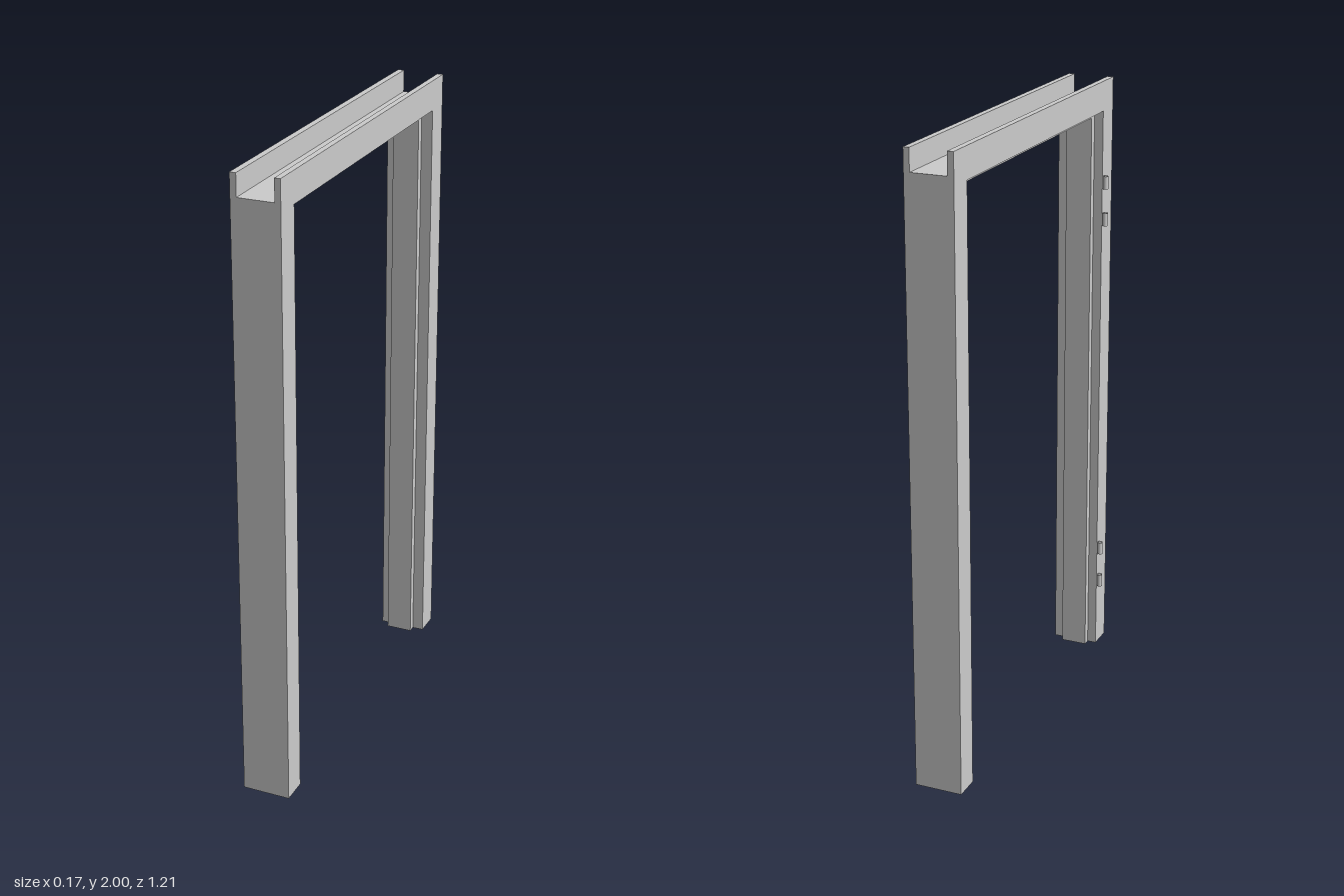
import * as THREE from 'three';

const material = new THREE.MeshStandardMaterial({ color: 0xcccccc, flatShading: true });
const hingeMaterial = new THREE.MeshStandardMaterial({ color: 0xcccccc, side: THREE.DoubleSide });

// Frame depth (x) and the door stop's range within it
const X0 = -0.067, X1 = 0.087, STOP0 = -0.037, STOP1 = 0.05;
// Channel walls on top of the head
const WALL0 = -0.047, WALL1 = 0.068;
// Half width, inner face of frame, inner face of stop (z)
const OUT = 0.605, IN = 0.52, STOP_IN = 0.495;
// Heights
const TOP = 2, CHANNEL = 1.93, HEAD = 1.903, STOP_HEAD = 1.883;

function extrude(points, depth) {
  const shape = new THREE.Shape(points.map(([x, y]) => new THREE.Vector2(x, y)));
  return new THREE.ExtrudeGeometry(shape, { depth, bevelEnabled: false });
}

function addMesh(parent, name, geometry, mat = material) {
  const mesh = new THREE.Mesh(geometry, mat);
  mesh.name = name;
  parent.add(mesh);
  return mesh;
}

export function createModel() {
  const model = new THREE.Group();
  model.name = 'doorFrame';

  // Side posts: rebated section extruded upwards
  for (const side of [1, -1]) {
    const section = [
      [X0, OUT], [X0, IN], [STOP0, IN], [STOP0, STOP_IN],
      [STOP1, STOP_IN], [STOP1, IN], [X1, IN], [X1, OUT],
    ].map(([x, z]) => [x, -z * side]);
    const post = extrude(section, HEAD);
    post.rotateX(-Math.PI / 2);
    addMesh(model, side > 0 ? 'frontPost' : 'backPost', post);
  }

  // Head: upward-facing channel running the full width
  const head = extrude([
    [X0, HEAD], [X1, HEAD], [X1, TOP], [WALL1, TOP],
    [WALL1, CHANNEL], [WALL0, CHANNEL], [WALL0, TOP], [X0, TOP],
  ], OUT * 2);
  head.translate(0, 0, -OUT);
  addMesh(model, 'head', head);

  // Door stop under the head, between the posts
  const headStop = addMesh(model, 'headStop',
    new THREE.BoxGeometry(STOP1 - STOP0, HEAD - STOP_HEAD, STOP_IN * 2));
  headStop.position.set((STOP0 + STOP1) / 2, (HEAD + STOP_HEAD) / 2, 0);

  // Hinge knuckles: open sleeves, each on a small tab
  const height = 0.043, radius = 0.009;
  for (const y of [0.246, 0.369, 1.546, 1.669]) {
    const hinge = new THREE.Group();
    hinge.name = 'hinge';
    hinge.position.set(X0, y, 0.522);
    addMesh(hinge, 'knuckle',
      new THREE.CylinderGeometry(radius, radius, height, 20, 1, true), hingeMaterial)
      .position.x = -0.011;
    addMesh(hinge, 'tab', new THREE.BoxGeometry(0.004, height, 0.006))
      .position.x = -0.001;
    model.add(hinge);
  }
  return model;
}
